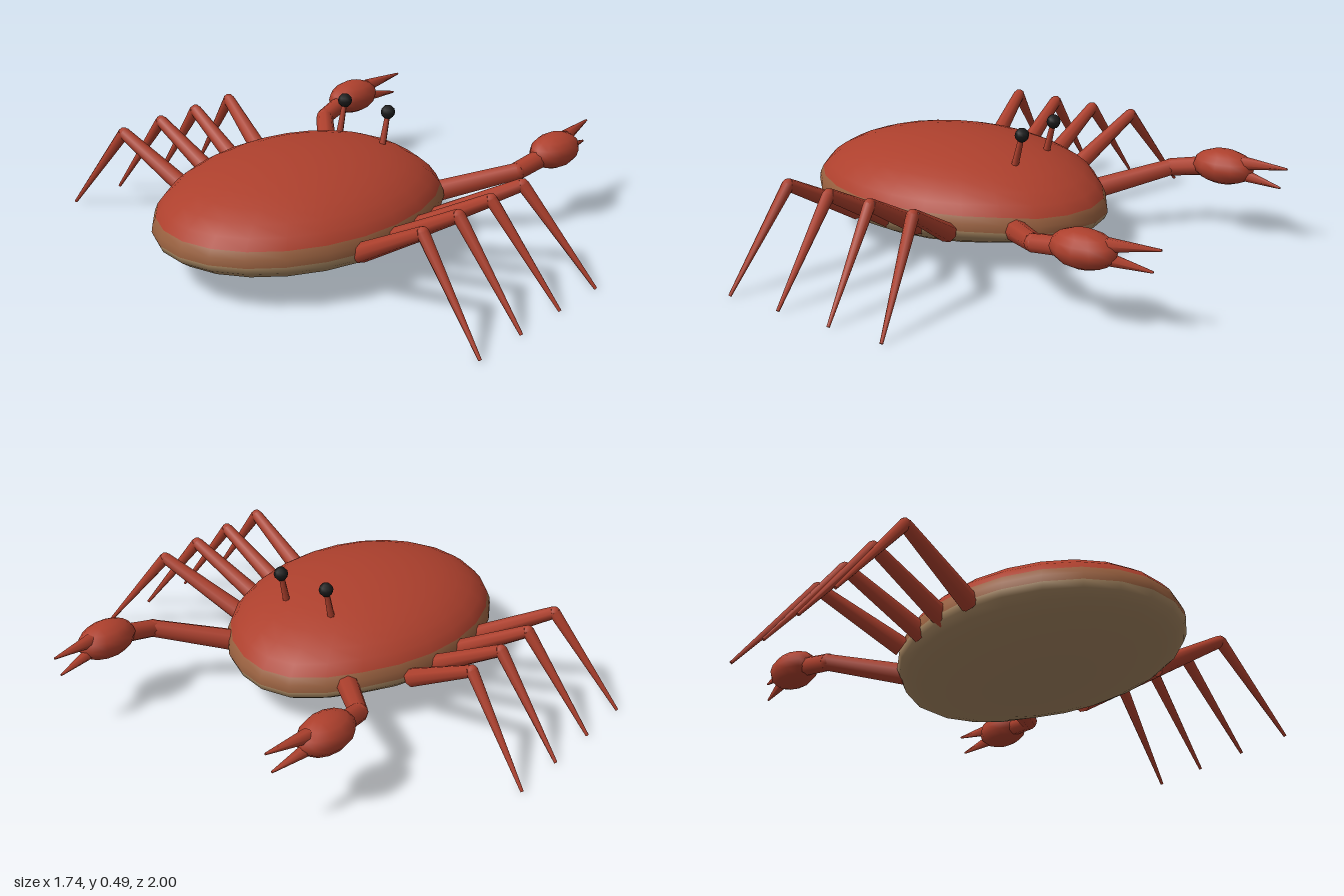
import * as THREE from 'three';

const mat = (color) => new THREE.MeshStandardMaterial({ color, roughness: 0.8 });
const red = mat(0xad402d), blend = mat(0x98603f), tan = mat(0xa58560), black = mat(0x1a1a1a);
const V = (x, y, z) => new THREE.Vector3(x, y, z);

function add(parent, name, geometry, material) {
  const mesh = new THREE.Mesh(geometry, material);
  mesh.name = name;
  parent.add(mesh);
  return mesh;
}

// Tapered round limb between two points
function limb(parent, name, a, b, ra, rb, sides = 8) {
  const dir = b.clone().sub(a);
  const mesh = add(parent, name, new THREE.CylinderGeometry(rb, ra, dir.length(), sides), red);
  mesh.position.copy(a).add(b).multiplyScalar(0.5);
  mesh.quaternion.setFromUnitVectors(V(0, 1, 0), dir.normalize());
  return mesh;
}

function ball(parent, name, p, rx, ry, rz, material = red, w = 12, h = 8) {
  const mesh = add(parent, name, new THREE.SphereGeometry(1, w, h), material);
  mesh.position.copy(p);
  mesh.scale.set(rx, ry, rz);
  return mesh;
}

// Band of the carapace: an oval with a taller top half and a blunt front lip
function bodyBand(parent, name, t0, t1, rows, material) {
  const g = new THREE.SphereGeometry(1, 24, rows, 0, Math.PI * 2, t0, t1 - t0);
  const p = g.attributes.position, n = g.attributes.normal;
  for (let i = 0; i < p.count; i++) {
    const x = p.getX(i), y = p.getY(i), z = p.getZ(i);
    const h = y > 0 ? 0.222 : 0.13;
    const normal = V(x / 0.6, y / h, z / 0.46).normalize();
    n.setXYZ(i, normal.x, normal.y, normal.z);
    const front = THREE.MathUtils.smoothstep(x, 0.6, 1);
    const lip = front * Math.exp(-(((z + 0.15) / 0.2) ** 2));
    p.setXYZ(i, -0.27 + 0.6 * x + 0.018 * lip, 0.172 + h * y - 0.025 * front, 0.46 * z);
  }
  add(parent, name, g, material);
}

export function createModel() {
  const crab = new THREE.Group();
  crab.name = 'crab';

  // Body: red shell fading into a tan belly
  const body = new THREE.Group();
  body.name = 'body';
  crab.add(body);
  const mid = Math.PI / 2;
  bodyBand(body, 'shell', 0, mid - 0.24, 8, red);
  bodyBand(body, 'shellRim', mid - 0.24, mid, 2, blend);
  bodyBand(body, 'belly', mid, Math.PI, 8, tan);

  for (const s of [1, -1]) {
    const side = s > 0 ? 'right' : 'left';

    // Four walking legs, fanned slightly: base, knee and foot x
    const legX = [[-0.435, -0.485, -0.53], [-0.285, -0.297, -0.305], [-0.15, -0.115, -0.08], [-0.02, 0.07, 0.145]];
    legX.forEach(([base, knee, foot], i) => {
      const leg = new THREE.Group();
      leg.name = `${side}Leg${i + 1}`;
      crab.add(leg);
      const k = V(knee, 0.342, s * 0.725);
      limb(leg, 'upperLeg', V(base, 0.165, s * 0.42), k, 0.036, 0.023);
      ball(leg, 'knee', k, 0.022, 0.022, 0.022, red, 8, 6);
      limb(leg, 'lowerLeg', k, V(foot, 0.003, s * 0.995), 0.023, 0.006);
    });

    // Claw arm with palm and two pointed fingers
    const claw = new THREE.Group();
    claw.name = `${side}Claw`;
    crab.add(claw);
    const elbow = V(0.39, 0.238, s * 0.485), palm = V(0.6, 0.273, s * 0.512);
    limb(claw, 'upperArm', V(0.175, 0.168, s * 0.275), elbow, 0.042, 0.034);
    ball(claw, 'elbow', elbow, 0.034, 0.034, 0.034, red, 8, 6);
    limb(claw, 'forearm', elbow, V(0.52, 0.262, s * 0.507), 0.034, 0.036);
    ball(claw, 'palm', palm, 0.125, 0.067, 0.081);
    limb(claw, 'upperFinger', V(0.685, 0.302, s * 0.505), V(0.87, 0.317, s * 0.484), 0.026, 0.004, 6);
    limb(claw, 'lowerFinger', V(0.685, 0.255, s * 0.508), V(0.845, 0.238, s * 0.488), 0.024, 0.004, 6);

    // Stalked eye
    const eye = new THREE.Group();
    eye.name = `${side}Eye`;
    crab.add(eye);
    limb(eye, 'stalk', V(0.055, 0.335, s * 0.106), V(0.087, 0.46, s * 0.106), 0.014, 0.01, 6);
    ball(eye, 'eyeball', V(0.088, 0.465, s * 0.106), 0.027, 0.027, 0.027, black, 8, 6);
  }
  return crab;
}
